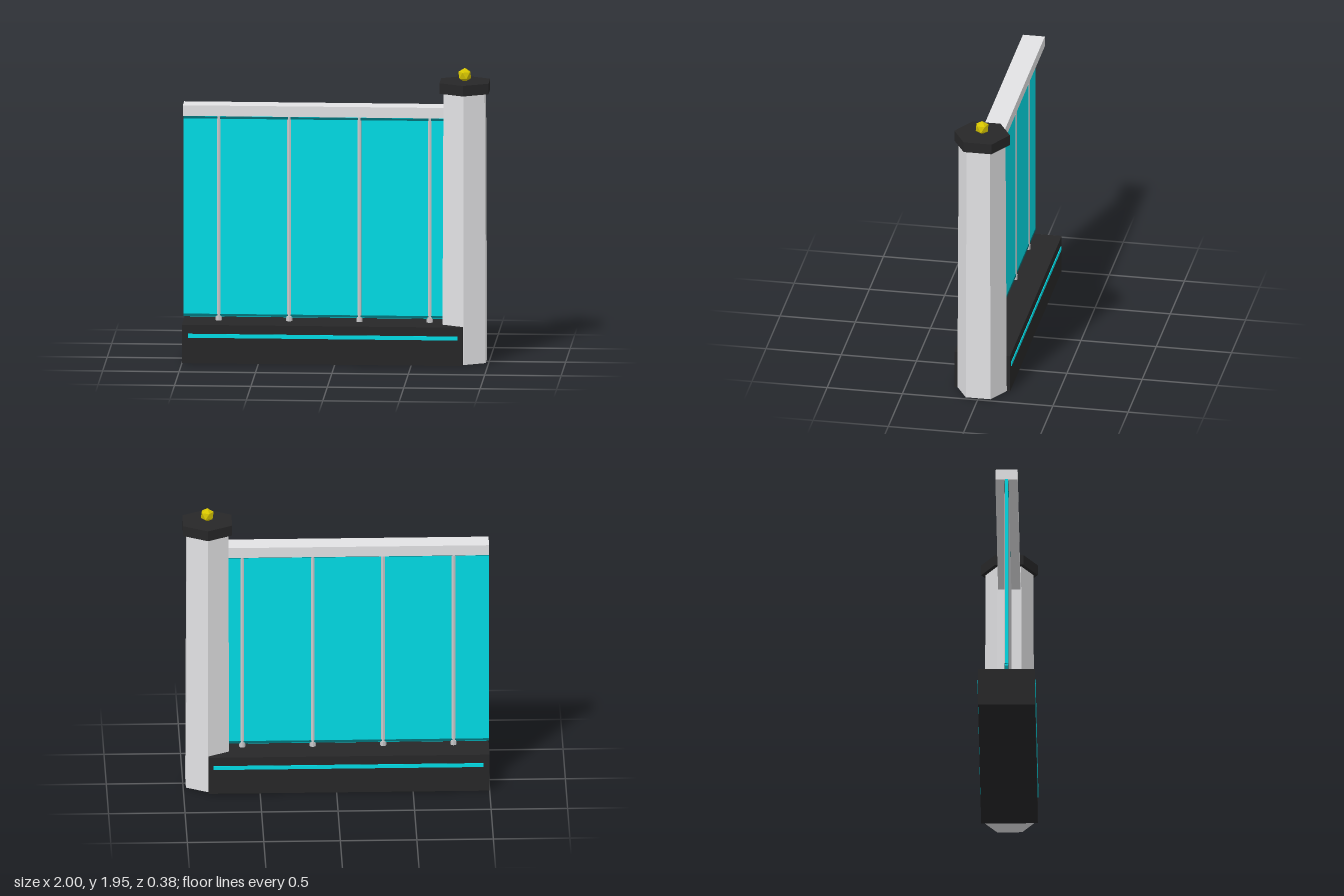
import * as THREE from 'three';

const material = (name, color) => {
  const m = new THREE.MeshStandardMaterial({ color });
  m.name = name;
  m.flatShading = true;
  return m;
};

export function createModel() {
  const group = new THREE.Group();
  const grey = material('light grey', 0xe2e2e4);
  const dark = material('charcoal', 0x272728);
  const cyan = material('cyan', 0x00dce6);
  const teal = material('dark teal', 0x00737a);
  const steel = material('steel', 0xcacacc);
  const gold = material('gold', 0xd6c400);

  const add = (name, geometry, mat, x, y, z = 0) => {
    const mesh = new THREE.Mesh(geometry, mat);
    mesh.name = name;
    mesh.position.set(x, y, z);
    group.add(mesh);
    return mesh;
  };
  // Box given by its x and y limits, centred on z unless offset
  const box = (name, mat, x0, x1, y0, y1, depth, z = 0) =>
    add(name, new THREE.BoxGeometry(x1 - x0, y1 - y0, depth), mat, (x0 + x1) / 2, (y0 + y1) / 2, z);
  // Upright prism given by its y limits
  const prism = (name, mat, x, y0, y1, rTop, rBottom, sides) =>
    add(name, new THREE.CylinderGeometry(rTop, rBottom, y1 - y0, sides), mat, x, (y0 + y1) / 2);

  // Plinth with a light stripe on both sides
  box('base', dark, -1, 0.837, 0, 0.255, 0.37);
  for (const s of [1, -1]) box('baseStripe', cyan, -0.96, 0.805, 0.17, 0.196, 0.008, s * 0.186);

  // Panel with dark edge strips, and the top rail
  box('panel', cyan, -1, 0.8, 0.28, 1.625, 0.02);
  for (const y of [0.283, 1.594]) box('panelStrip', teal, -1, 0.8, y, y + 0.015, 0.026);
  box('topRail', grey, -1, 0.8, 1.622, 1.692, 0.146);

  // Slim posts with feet
  for (let i = 0; i < 4; i++) {
    const x = -0.769 + i * 0.46;
    prism('post', steel, x, 0.25, 1.63, 0.0165, 0.0165, 8);
    prism('postFoot', steel, x, 0.25, 0.288, 0.021, 0.021, 8);
  }

  // Six-sided pillar, cap and finial
  const px = 0.84;
  prism('pillar', grey, px, 0.003, 1.79, 0.156, 0.164, 6);
  prism('pillarCap', dark, px, 1.79, 1.86, 0.185, 0.185, 6);
  const finial = add('finial', new THREE.IcosahedronGeometry(0.047, 0), gold, px, 1.9);
  finial.rotation.z = 0.5536; // one corner points up

  return group;
}
